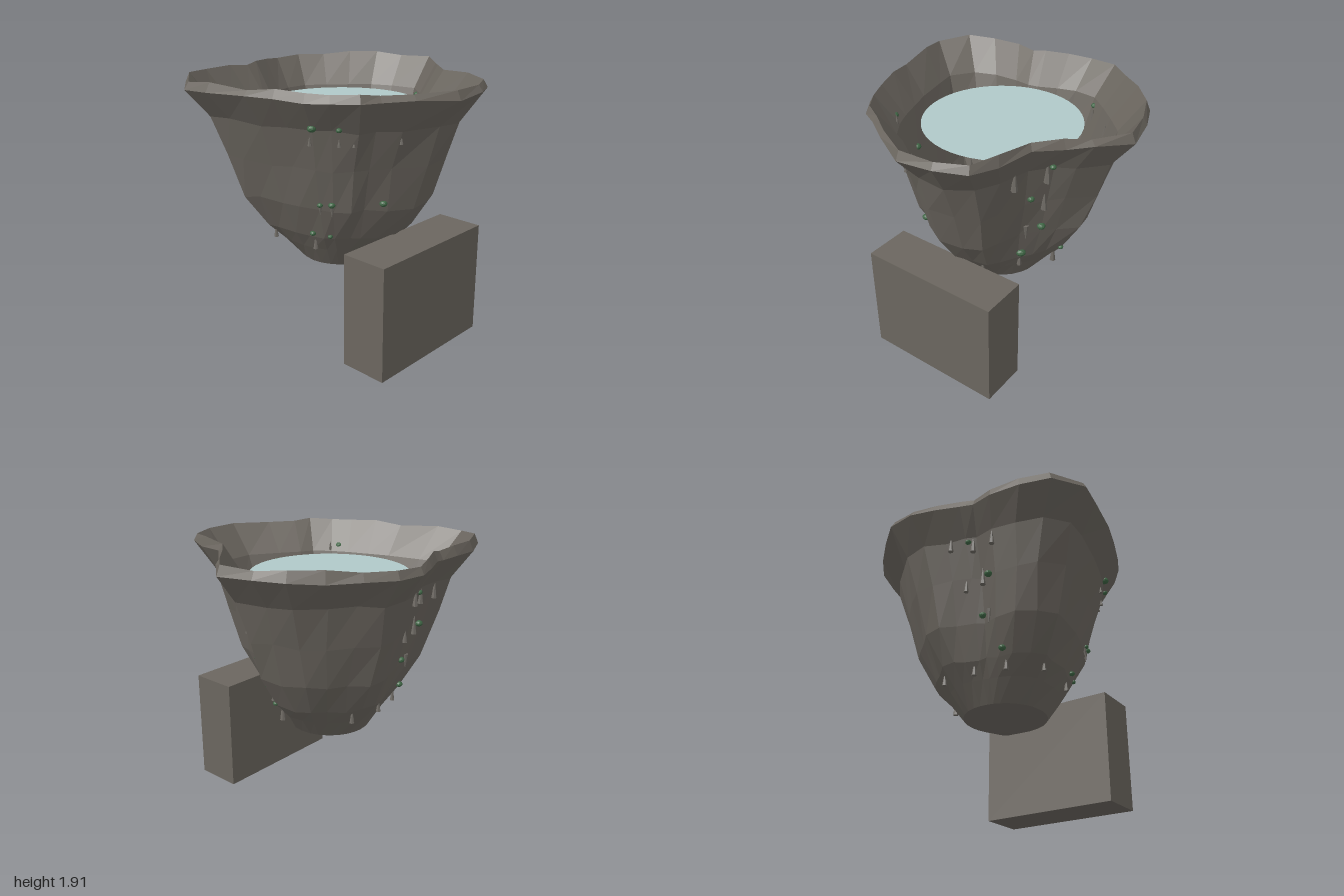
import * as THREE from 'three';

const CX = -0.02, CZ = -0.07; // basin axis

// Lobed outline of the rim, seen from above (x, z)
const rim = [
  [1.0, -0.05], [0.95, -0.3], [0.87, -0.5], [0.72, -0.67], [0.55, -0.82], [0.38, -0.95],
  [0.17, -0.975], [0, -0.92], [-0.17, -0.85], [-0.27, -0.83], [-0.42, -0.845], [-0.65, -0.83],
  [-0.85, -0.75], [-1.0, -0.55], [-0.97, -0.36], [-0.91, -0.05], [-0.85, 0.15], [-0.78, 0.35],
  [-0.71, 0.5], [-0.6, 0.65], [-0.48, 0.71], [-0.3, 0.83], [-0.04, 0.97], [0.22, 0.955],
  [0.42, 0.86], [0.5, 0.68], [0.56, 0.43], [0.7, 0.27], [0.83, 0.15],
].map(([x, z]) => ({ a: Math.atan2(z - CZ, x - CX), r: Math.hypot(x - CX, z - CZ) }));

// Wall profile: height, share of the rim radius, roundness of the ring
const profile = [
  [0.44, 0.037, 1], [0.55, 0.316, 1], [0.7, 0.43, 0.6], [0.82, 0.53, 0.25],
  [1.06, 0.66, 0], [1.36, 0.755, 0], [1.64, 0.85, 0], [1.84, 1, 0],
];
const THICK = 0.05;

const ringRadius = ([, s, round], R) => s * (R * (1 - round) + 0.95 * round);

function rimRadius(a) {
  const n = rim.length, turn = Math.PI * 2;
  for (let i = 0; i < n; i++) {
    const p = rim[i], q = rim[(i + 1) % n];
    const span = (p.a - q.a + turn) % turn;
    const t = (p.a - a + turn * 2) % turn;
    if (t <= span) return p.r + (q.r - p.r) * t / span;
  }
  return 0.9;
}

function wallRadius(a, y) {
  const R = rimRadius(a);
  for (let j = 0; j < profile.length - 1; j++) {
    const p = profile[j], q = profile[j + 1];
    if (y <= q[0]) {
      const t = (y - p[0]) / (q[0] - p[0]);
      return THREE.MathUtils.lerp(ringRadius(p, R), ringRadius(q, R), t);
    }
  }
  return R;
}

function wallHeight(a, r) {
  let y = 0.6;
  while (y < 1.82 && wallRadius(a, y) - THICK < r) y += 0.01;
  return y;
}

function seeded(seed) {
  return () => {
    seed = (seed * 16807) % 2147483647;
    return seed / 2147483647 - 0.5;
  };
}

// Closed shell: up the outside, over the lip, down the inside
function basinGeometry() {
  const rand = seeded(71);
  const n = rim.length;
  const rings = [];
  const addRing = (fn) => rings.push(rim.map(fn));
  const point = (a, r, y) => [CX + Math.cos(a) * r, y, CZ + Math.sin(a) * r];
  profile.forEach((row, j) => {
    const rough = j > 2 && j < 7 ? 1 : 0;
    addRing(({ a, r }) => point(a + rand() * 0.05 * rough,
      ringRadius(row, r) + rand() * 0.022 * rough,
      row[0] + rand() * (j === 7 ? 0.025 : 0.03 * rough)));
  });
  addRing(({ a, r }) => point(a, r - 0.03, 1.897 + rand() * 0.036));
  for (let j = 6; j >= 1; j--) {
    addRing(({ a, r }) => point(a, ringRadius(profile[j], r) - THICK + rand() * 0.015,
      profile[j][0] + 0.03));
  }
  const pos = [];
  for (let j = 0; j < rings.length - 1; j++) {
    for (let i = 0; i < n; i++) {
      const k = (i + 1) % n;
      const a = rings[j][i], b = rings[j][k], c = rings[j + 1][k], d = rings[j + 1][i];
      pos.push(...a, ...b, ...c, ...a, ...c, ...d);
    }
  }
  // Bottom tip and inner floor
  const first = rings[0], last = rings[rings.length - 1];
  for (let i = 0; i < n; i++) {
    const k = (i + 1) % n;
    pos.push(CX, 0.44, CZ, ...first[k], ...first[i]);
    pos.push(CX, 0.56, CZ, ...last[i], ...last[k]);
  }
  const geo = new THREE.BufferGeometry();
  geo.setAttribute('position', new THREE.Float32BufferAttribute(pos, 3));
  geo.computeVertexNormals();
  return geo;
}

// Outer decorations: angle in degrees (0 = +x, 90 = front), height, size
const outerMoss = [
  [27, 1.67, 0.022], [36, 1.4, 0.026], [25, 1.12, 0.03], [37, 0.86, 0.036], [3, 0.84, 0.02],
  [150, 1.66, 0.03], [137, 1.66, 0.02], [150, 1.1, 0.02], [142, 1.11, 0.025], [110, 1.11, 0.028],
  [160, 0.85, 0.022], [145, 0.84, 0.018], [258, 1.62, 0.022], [246, 1.36, 0.028],
  [252, 1.1, 0.026], [238, 0.86, 0.026],
];
// Angle, middle height, length (negative points down)
const outerSpikes = [
  [48, 1.63, 0.16], [29, 1.63, 0.16], [27, 1.37, 0.14], [36, 1.08, -0.11], [37, 0.78, 0.1],
  [3, 0.76, 0.13], [152, 1.57, 0.06], [137, 1.57, 0.05], [130, 1.56, 0.03], [107, 1.57, 0.05],
  [142, 1.06, -0.08], [150, 1.06, -0.06], [255, 1.6, 0.13], [268, 1.62, 0.12], [243, 1.6, 0.12],
  [250, 1.36, 0.13], [262, 1.32, 0.1], [247, 1.08, -0.1], [300, 0.77, 0.1], [265, 0.77, 0.1],
  [235, 0.77, 0.1], [205, 0.77, 0.09], [160, 0.77, 0.1], [70, 0.77, 0.09],
];
// Inner decorations: x, z, size
const innerMoss = [
  [0.32, -0.75, 0.024], [0.46, -0.5, 0.02], [0.66, -0.4, 0.035], [-0.64, -0.51, 0.03],
  [-0.49, -0.51, 0.035], [-0.57, 0.22, 0.03], [-0.63, 0.36, 0.03], [-0.22, 0.65, 0.03],
  [-0.12, 0.55, 0.016], [0.28, 0.5, 0.036], [0.33, 0.58, 0.03], [0.73, 0.03, 0.028],
];
const innerSpikes = [
  [0.31, -0.59], [0.53, -0.54], [0.51, -0.37], [0.66, -0.31], [0.59, -0.06], [0.6, 0],
  [-0.56, -0.57], [-0.67, -0.4], [-0.55, -0.37], [-0.63, -0.11], [-0.57, 0.4], [-0.37, 0.42],
  [-0.26, 0.6], [-0.12, 0.64], [0, 0.53], [0.32, 0.42], [0.19, 0.62], [0.33, -0.71],
];

export function createModel() {
  const rock = new THREE.MeshStandardMaterial({ color: 0x6b665f, flatShading: true });
  rock.name = 'rock';
  const spikeStone = new THREE.MeshStandardMaterial({ color: 0x6e6a64, flatShading: true });
  spikeStone.name = 'spike stone';
  const moss = new THREE.MeshStandardMaterial({ color: 0x3f6645, flatShading: true });
  moss.name = 'moss';
  const water = new THREE.MeshStandardMaterial({ color: 0xb0c9c9, side: THREE.DoubleSide });
  water.name = 'water';

  const model = new THREE.Group();
  const add = (name, geo, mat, x, y, z) => {
    const mesh = new THREE.Mesh(geo, mat);
    mesh.name = name;
    mesh.position.set(x, y, z);
    model.add(mesh);
    return mesh;
  };

  add('basin', basinGeometry(), rock, 0, 0, 0);
  add('waterSurface', new THREE.CircleGeometry(0.565, 48), water, CX, 1.68, CZ).rotation.x = -Math.PI / 2;
  add('frontBlock', new THREE.BoxGeometry(1.05, 0.82, 0.345), rock, -0.02, 0.41, 0.63);

  const mossGeo = new THREE.IcosahedronGeometry(1, 1);
  const spikeGeo = new THREE.CylinderGeometry(0.12, 1, 1, 6);
  const addMoss = (x, y, z, s) => {
    const m = add('mossClump', mossGeo, moss, x, y, z);
    m.scale.set(s, s * 0.8, s);
    m.rotation.y = x * 7;
  };
  const addSpike = (x, y, z, len) => {
    const m = add('spike', spikeGeo, spikeStone, x, y, z);
    const w = 0.008 + Math.abs(len) * 0.1;
    m.scale.set(w, Math.abs(len), w);
    if (len < 0) m.rotation.x = Math.PI;
  };
  const onWall = (deg, y) => {
    const a = THREE.MathUtils.degToRad(deg), r = wallRadius(a, y) + 0.004;
    return [CX + Math.cos(a) * r, y, CZ + Math.sin(a) * r];
  };
  const insideHeight = (x, z) =>
    wallHeight(Math.atan2(z - CZ, x - CX), Math.hypot(x - CX, z - CZ));

  for (const [deg, y, s] of outerMoss) addMoss(...onWall(deg, y), s);
  for (const [deg, y, len] of outerSpikes) addSpike(...onWall(deg, y), len);
  for (const [x, z, s] of innerMoss) addMoss(x, insideHeight(x, z), z, s);
  innerSpikes.forEach(([x, z], i) =>
    addSpike(x, insideHeight(x, z) + 0.03, z, i % 3 ? 0.1 : 0.14));

  return model;
}
